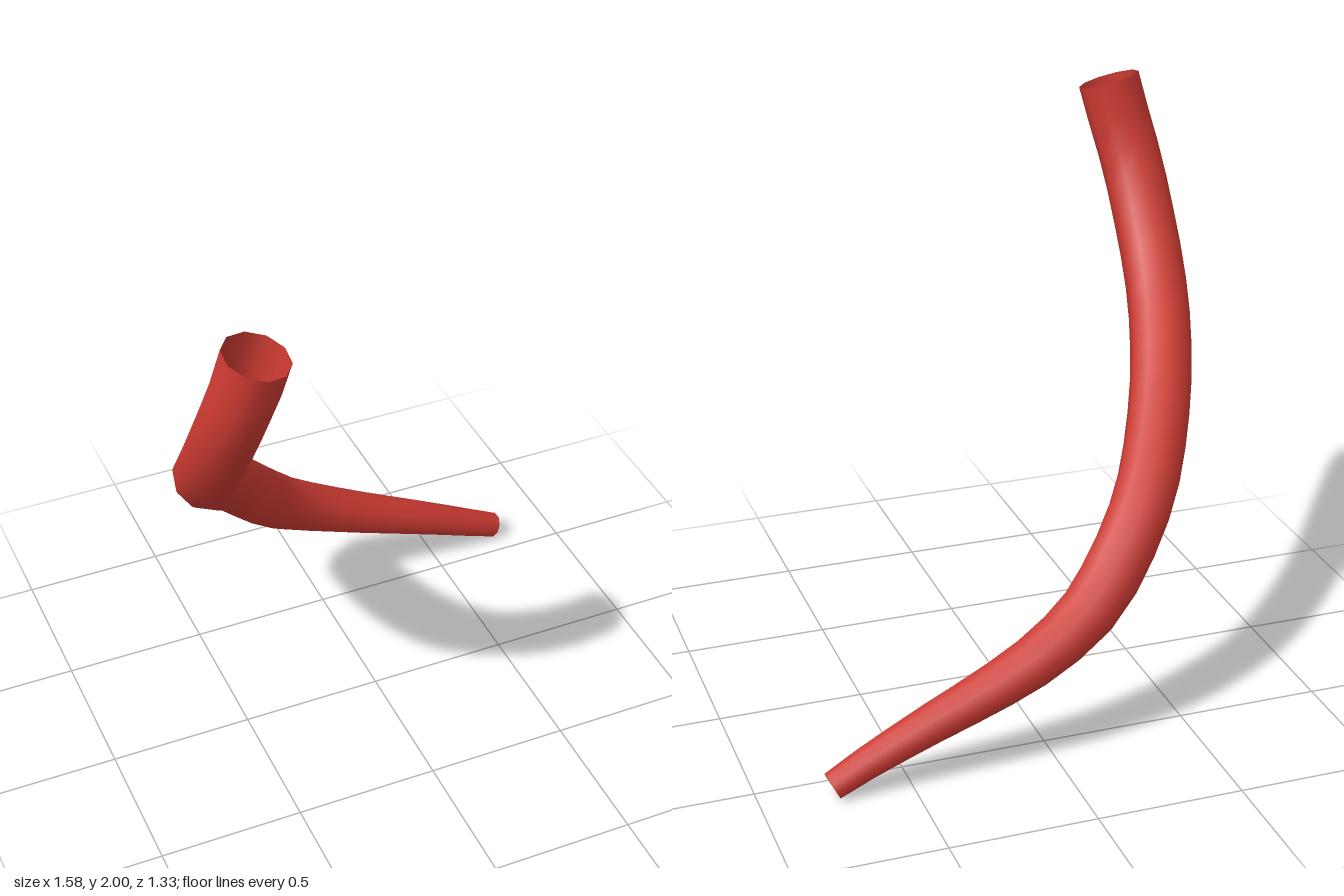
import * as THREE from 'three';

const SIDES = 10;
const RINGS = 24;

// Radius along the length: even at first, then a straight taper to the tip
function radiusAt(u) {
  const taper = Math.max(0, (u - 0.64) / 0.36);
  return 0.108 - 0.003 * Math.min(1, u / 0.64) - 0.056 * taper;
}

export function createModel() {
  const group = new THREE.Group();
  group.name = 'curvedTube';

  const red = new THREE.MeshStandardMaterial({ color: 0xcc3a32, side: THREE.DoubleSide });
  red.name = 'red';

  // Centre line from the wide upper end to the narrow lower end
  const path = new THREE.CatmullRomCurve3([
    [-0.618, 1.972, 0.56],
    [-0.65, 1.835, 0.533],
    [-0.677, 1.69, 0.475],
    [-0.684, 1.51, 0.362],
    [-0.67, 1.34, 0.22],
    [-0.63, 1.2, 0.07],
    [-0.562, 1.045, -0.1],
    [-0.445, 0.855, -0.305],
    [-0.365, 0.75, -0.4],
    [-0.25, 0.605, -0.482],
    [-0.14, 0.495, -0.535],
    [0.025, 0.39, -0.575],
    [0.19, 0.308, -0.587],
    [0.45, 0.196, -0.59],
    [0.67, 0.096, -0.596],
    [0.765, 0.05, -0.604],
  ].map((p) => new THREE.Vector3(...p)));

  // Open-ended tube, each ring scaled about its own centre
  const geometry = new THREE.TubeGeometry(path, RINGS, 1, SIDES, false);
  const pos = geometry.attributes.position;
  const v = new THREE.Vector3();
  for (let i = 0; i <= RINGS; i++) {
    const u = i / RINGS;
    const centre = path.getPointAt(u);
    for (let j = 0; j <= SIDES; j++) {
      const k = i * (SIDES + 1) + j;
      v.fromBufferAttribute(pos, k).sub(centre).multiplyScalar(radiusAt(u)).add(centre);
      pos.setXYZ(k, v.x, v.y, v.z);
    }
  }

  const tube = new THREE.Mesh(geometry, red);
  tube.name = 'taperedTube';
  group.add(tube);
  return group;
}
